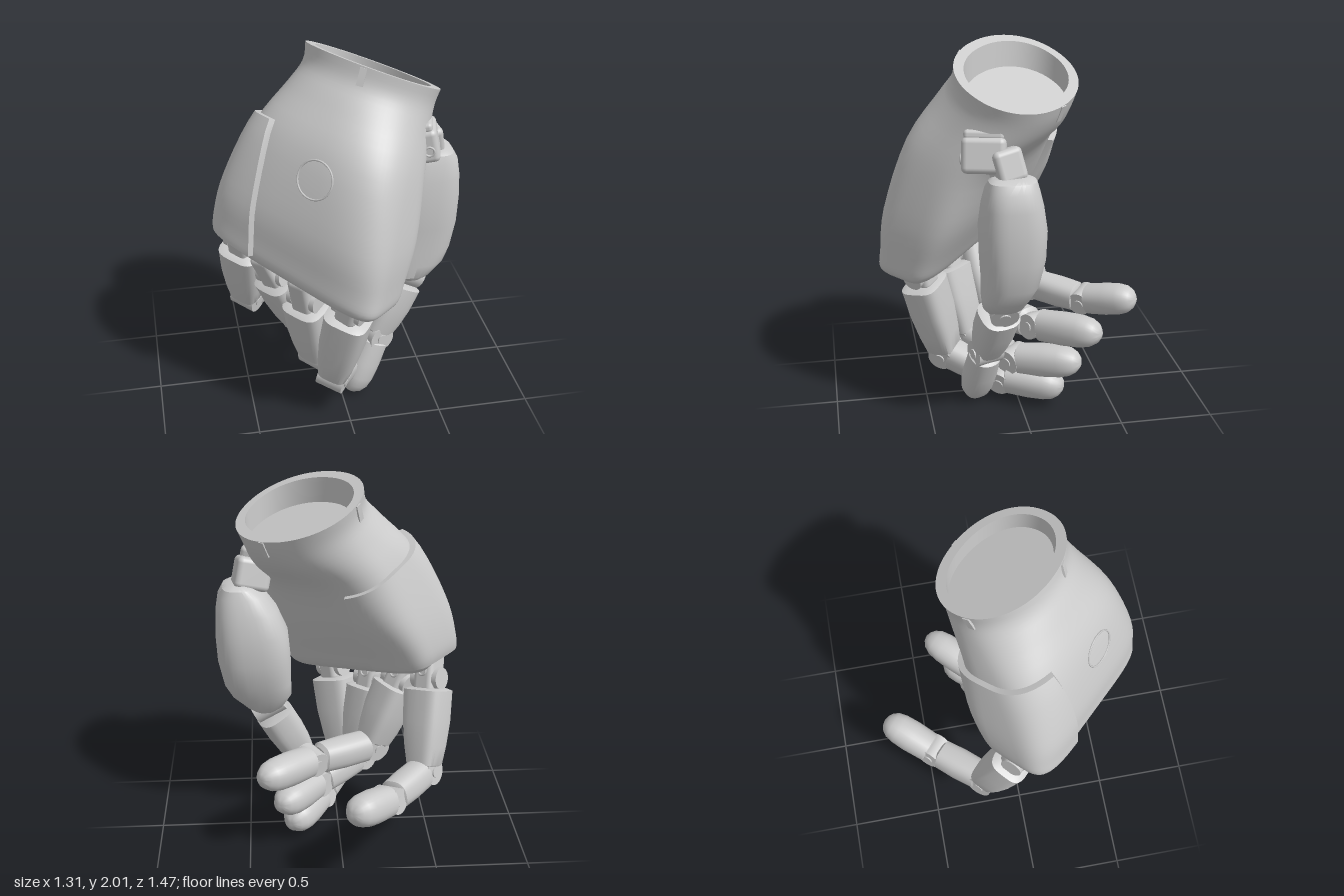
import * as THREE from 'three';
import { toCreasedNormals } from 'three/addons/utils/BufferGeometryUtils.js';
import { RoundedBoxGeometry } from 'three/addons/geometries/RoundedBoxGeometry.js';

const V = (x, y, z) => new THREE.Vector3(x, y, z);
const material = new THREE.MeshStandardMaterial({ color: 0xcccccc });
// Hand axes: ACROSS runs little finger to index, PALM points out of the palm
const ACROSS = V(1, 0, 1).normalize(), PALM = V(1, 0, -1).normalize();

function add(parent, name, geometry) {
  const mesh = new THREE.Mesh(geometry, material);
  mesh.name = name;
  parent.add(mesh);
  return mesh;
}

// Skin over closed rings of points, capped at both ends
function skin(rings, crease = 0.6) {
  const n = rings[0].length, pos = [], index = [];
  rings.forEach(r => r.forEach(p => pos.push(p.x, p.y, p.z)));
  for (let j = 0; j < rings.length - 1; j++) {
    for (let i = 0; i < n; i++) {
      const a = j * n + i, b = j * n + (i + 1) % n;
      index.push(a, b, b + n, a, b + n, a + n);
    }
  }
  [[0, -1], [rings.length - 1, 1]].forEach(([j, dir]) => {
    const c = rings[j].reduce((s, p) => s.add(p), V(0, 0, 0)).divideScalar(n), k = pos.length / 3;
    pos.push(c.x, c.y, c.z);
    for (let i = 0; i < n; i++) {
      const a = j * n + i, b = j * n + (i + 1) % n;
      index.push(k, dir > 0 ? a : b, dir > 0 ? b : a);
    }
  });
  const g = new THREE.BufferGeometry();
  g.setAttribute('position', new THREE.Float32BufferAttribute(pos, 3));
  g.setIndex(index);
  return toCreasedNormals(g, crease);
}

const power = (v, n) => Math.sign(v) * Math.pow(Math.abs(v), 2 / n);

// Rounded-square loft along local y; rows are [y, half x, half z, centre x, centre z]
function loft(rows, n = 2.8, count = 28) {
  return skin(rows.map(([y, hx, hz, cx = 0, cz = 0]) => Array.from({ length: count }, (_, i) => {
    const t = i / count * Math.PI * 2;
    return V(cx + hx * power(Math.cos(t), n), y, cz - hz * power(Math.sin(t), n));
  })));
}

// Group at a point with local y along dir and local x along side
function frame(parent, name, at, dir, side) {
  const g = new THREE.Group(), y = dir.clone().normalize();
  const x = side.clone().addScaledVector(y, -side.dot(y)).normalize();
  g.quaternion.setFromRotationMatrix(new THREE.Matrix4().makeBasis(x, y, x.clone().cross(y)));
  g.position.copy(at);
  g.name = name;
  parent.add(g);
  return g;
}

// Palm sections: height, centre across, centre palmward, half sizes, squareness, slopes
const SECTIONS = [
  [0.87, 0.08, -0.36, 0.46, 0.16, 5, -0.22, -0.08],
  [0.91, 0.08, -0.35, 0.49, 0.19, 5, -0.22, -0.08],
  [1.0, 0.08, -0.32, 0.5, 0.215, 4.5, -0.22, -0.08],
  [1.2, 0.1, -0.25, 0.49, 0.262, 4, -0.2, -0.12],
  [1.5, 0.125, -0.125, 0.435, 0.28, 3, -0.16, -0.27],
  [1.68, 0.14, 0.02, 0.375, 0.285, 2.3, -0.14, -0.38],
  [1.78, 0.15, 0.095, 0.35, 0.275, 2.1, -0.13, -0.43],
  [1.865, 0.155, 0.127, 0.36, 0.277, 2.1, -0.13, -0.45],
];

function section(s) {
  const last = SECTIONS.length - 1, i = Math.min(Math.floor(s), last - 1), t = s - i;
  const row = k => SECTIONS[Math.max(0, Math.min(last, k))];
  return row(i).map((b, k) => {
    const a = row(i - 1)[k], c = row(i + 1)[k], d = row(i + 2)[k];
    return b + 0.5 * t * (c - a + t * (2 * a - 5 * b + 4 * c - d + t * (3 * (b - c) + d - a)));
  });
}

function palmPoint([y, cw, cd, hw, hd, n, sw, sd], angle, grow = 0, drop = 0) {
  const w = (hw + grow) * power(Math.cos(angle), n), d = (hd + grow) * power(Math.sin(angle), n);
  const p = ACROSS.clone().multiplyScalar(cw + w).addScaledVector(PALM, cd + d);
  p.y = y + sw * w + sd * d - drop;
  return p;
}

function buildPalm(root) {
  const N = 72, STEPS = 4, rings = [];
  const ring = (sec, grow, drop) => Array.from({ length: N }, (_, i) => palmPoint(sec, i / N * Math.PI * 2, grow, drop));
  const last = SECTIONS.length - 1;
  for (let k = 0; k <= last * STEPS; k++) rings.push(ring(section(k / STEPS)));
  // rim and recessed wrist socket
  rings.push(ring(SECTIONS[last], -0.05), ring(SECTIONS[last], -0.055, 0.13));
  add(root, 'palm', skin(rings));

  // raised cover over the little-finger edge, its top seam sloping down to the palm side
  const cover = [], M = 36, FROM = 1.1, TO = 4.06;
  for (let k = -1; k <= 15; k++) {
    const end = k < 0 || k > 14, f = Math.min(14, Math.max(0, k)) / 14, sec = section(FROM + (TO - FROM) * f);
    const start = Math.acos(-Math.pow((sec[1] + 0.13) / sec[3], sec[5] / 2));
    cover.push(Array.from({ length: M + 1 }, (_, i) => {
      const t = Math.min(1, Math.max(0, (i - 1) / (M - 2)));
      const angle = start + (2 * Math.PI - 2 * start) * t;
      const at = section(FROM + (TO - 0.22 * Math.sin(angle) - FROM) * f);
      return palmPoint(at, angle, end || i === 0 || i === M ? -0.02 : 0.028);
    }));
  }
  add(root, 'edgeCover', skin(cover));

  // round inlay on the back of the hand
  const inlay = add(root, 'backInlay', new THREE.TorusGeometry(0.098, 0.005, 6, 40));
  const sec = section(3.7), angle = 1.5 * Math.PI + 0.05, e = 0.12;
  const p = palmPoint(sec, angle), up = palmPoint(section(4), angle).sub(palmPoint(section(3.4), angle));
  const along = palmPoint(sec, angle + e).sub(palmPoint(sec, angle - e));
  inlay.position.copy(p);
  inlay.lookAt(p.clone().add(along.cross(up).normalize()));

  // alignment keys at the wrist rim
  [1.6, 1.05, 0.5].forEach(a => {
    const top = palmPoint(SECTIONS[last], a * Math.PI), low = palmPoint(SECTIONS[last - 1], a * Math.PI);
    const radial = V(top.x - 0.2, 0, top.z - 0.02);
    const key = frame(root, 'wristKey', top.clone().lerp(low, 0.55), top.clone().sub(low), V(0, 1, 0).cross(radial));
    add(key, 'wristKeyBar', new THREE.BoxGeometry(0.035, 0.09, 0.012));
  });
}

// Finger segment shapes: [fraction of length, half width, half depth]
const PROXIMAL = [[0.17, 0.09, 0.08], [0.19, 0.12, 0.106], [0.5, 0.116, 0.106], [0.75, 0.1, 0.098], [0.93, 0.084, 0.085], [0.97, 0.065, 0.065]];
const MIDDLE = [[0.06, 0.06, 0.06], [0.12, 0.08, 0.085], [0.5, 0.085, 0.085], [0.84, 0.08, 0.08], [0.88, 0.06, 0.06]];
const TIP = [[0.06, 0.065, 0.06], [0.1, 0.085, 0.085], [0.45, 0.09, 0.09], [0.7, 0.087, 0.086], [0.84, 0.077, 0.075], [0.93, 0.057, 0.055], [0.98, 0.032, 0.03], [1, 0.006, 0.006]];

function segment(parent, name, from, to, side, shape, n) {
  const dir = to.clone().sub(from), len = dir.length();
  add(frame(parent, name, from, dir, side), name + 'Shell', loft(shape.map(([t, w, d]) => [t * len, w, d]), n));
}

function joint(parent, name, at, dir, side, r = 0.072, width = 0.15) {
  const g = frame(parent, name, at, dir, side);
  add(g, name + 'Barrel', new THREE.CylinderGeometry(r, r, width, 24)).rotation.z = Math.PI / 2;
  add(g, name + 'Pin', new THREE.CylinderGeometry(r * 0.4, r * 0.4, width + 0.015, 12)).rotation.z = Math.PI / 2;
}

function knuckle(parent, name, at, dir) {
  const g = frame(parent, name, at, dir, ACROSS);
  add(g, name + 'Block', new RoundedBoxGeometry(0.12, 0.24, 0.14, 3, 0.03));
  for (const s of [-1, 1]) {
    const cheek = add(g, name + 'Cheek', new THREE.CylinderGeometry(0.06, 0.06, 0.03, 20));
    cheek.rotation.z = Math.PI / 2;
    cheek.position.set(s * 0.07, 0.04, 0);
  }
  add(g, name + 'Screw', new THREE.TorusGeometry(0.024, 0.006, 6, 20)).position.set(0, 0, 0.07);
}

function buildFinger(root, name, base, pip, dip, tip) {
  const g = new THREE.Group();
  g.name = name;
  root.add(g);
  const d1 = pip.clone().sub(base), d2 = dip.clone().sub(pip), side = d2.clone().cross(d1).normalize();
  if (side.dot(ACROSS) < 0) side.negate();
  knuckle(g, 'knuckle', base, d1);
  segment(g, 'proximal', base, pip, side, PROXIMAL, 3.6);
  joint(g, 'middleJoint', pip, d2, side);
  segment(g, 'middle', pip, dip, side, MIDDLE, 2.6);
  joint(g, 'endJoint', dip, d2, side, 0.07, 0.14);
  segment(g, 'fingertip', dip, tip, side, TIP, 2.3);
}

function buildThumb(root) {
  const g = new THREE.Group();
  g.name = 'thumb';
  root.add(g);
  // swivel mount on the side of the palm
  const mount = frame(g, 'thumbMount', V(0.42, 1.52, 0.22), V(0.2, -1, 0.05), V(1, 0, 0.25));
  add(mount, 'mountBlock', new RoundedBoxGeometry(0.16, 0.18, 0.22, 3, 0.03));
  add(mount, 'mountHood', new RoundedBoxGeometry(0.13, 0.05, 0.2, 3, 0.02)).position.set(0, -0.1, 0);
  const screw = add(mount, 'mountScrew', new THREE.TorusGeometry(0.024, 0.006, 6, 20));
  screw.position.set(0.03, 0.02, -0.11);
  const link = add(g, 'mountLink', new RoundedBoxGeometry(0.19, 0.17, 0.15, 3, 0.03));
  link.position.set(0.45, 1.47, 0.12);
  link.rotation.set(0.2, 0.2, 0.2);
  // bulging thumb base
  add(g, 'thumbBase', loft([
    [0.67, 0.06, 0.08, 0.4, 0.13], [0.7, 0.105, 0.105, 0.4, 0.13], [0.77, 0.165, 0.122, 0.415, 0.12],
    [0.85, 0.183, 0.142, 0.435, 0.1], [1.0, 0.198, 0.163, 0.45, 0.09], [1.15, 0.195, 0.168, 0.46, 0.09],
    [1.28, 0.165, 0.152, 0.485, 0.095], [1.37, 0.125, 0.133, 0.51, 0.1], [1.415, 0.085, 0.118, 0.525, 0.1],
    [1.43, 0.05, 0.095, 0.53, 0.1]], 2.8, 40));
  const base = V(0.385, 0.69, 0.13), mid = V(0.2, 0.34, 0.19), tip = V(0.05, 0.0, 0.24), side = V(0.35, 0, 0.94);
  joint(g, 'thumbKnuckle', base, mid.clone().sub(base), V(1, 0, -0.1), 0.075, 0.17);
  segment(g, 'thumbProximal', base, mid, side, PROXIMAL.map(([t, w, d]) => [t, w * 0.9, d * 0.98]), 2.8);
  joint(g, 'thumbEndJoint', mid, tip.clone().sub(mid), side);
  segment(g, 'thumbTip', mid, tip, side, TIP, 2.3);
}

export function createModel() {
  const root = new THREE.Group();
  root.name = 'mechanicalHand';
  buildPalm(root);
  buildFinger(root, 'indexFinger', V(0.0, 0.78, 0.52), V(-0.07, 0.22, 0.38), V(0.1, 0.12, 0.08), V(0.27, 0.12, -0.23));
  buildFinger(root, 'middleFinger', V(-0.22, 0.77, 0.36), V(-0.14, 0.28, 0.25), V(0.12, 0.24, 0.02), V(0.33, 0.29, -0.31));
  buildFinger(root, 'ringFinger', V(-0.37, 0.83, 0.19), V(-0.2, 0.42, 0.12), V(0.15, 0.45, -0.1), V(0.43, 0.5, -0.39));
  buildFinger(root, 'littleFinger', V(-0.5, 0.93, 0.0), V(-0.46, 0.42, -0.2), V(-0.24, 0.4, -0.46), V(-0.03, 0.47, -0.71));
  buildThumb(root);
  return root;
}
